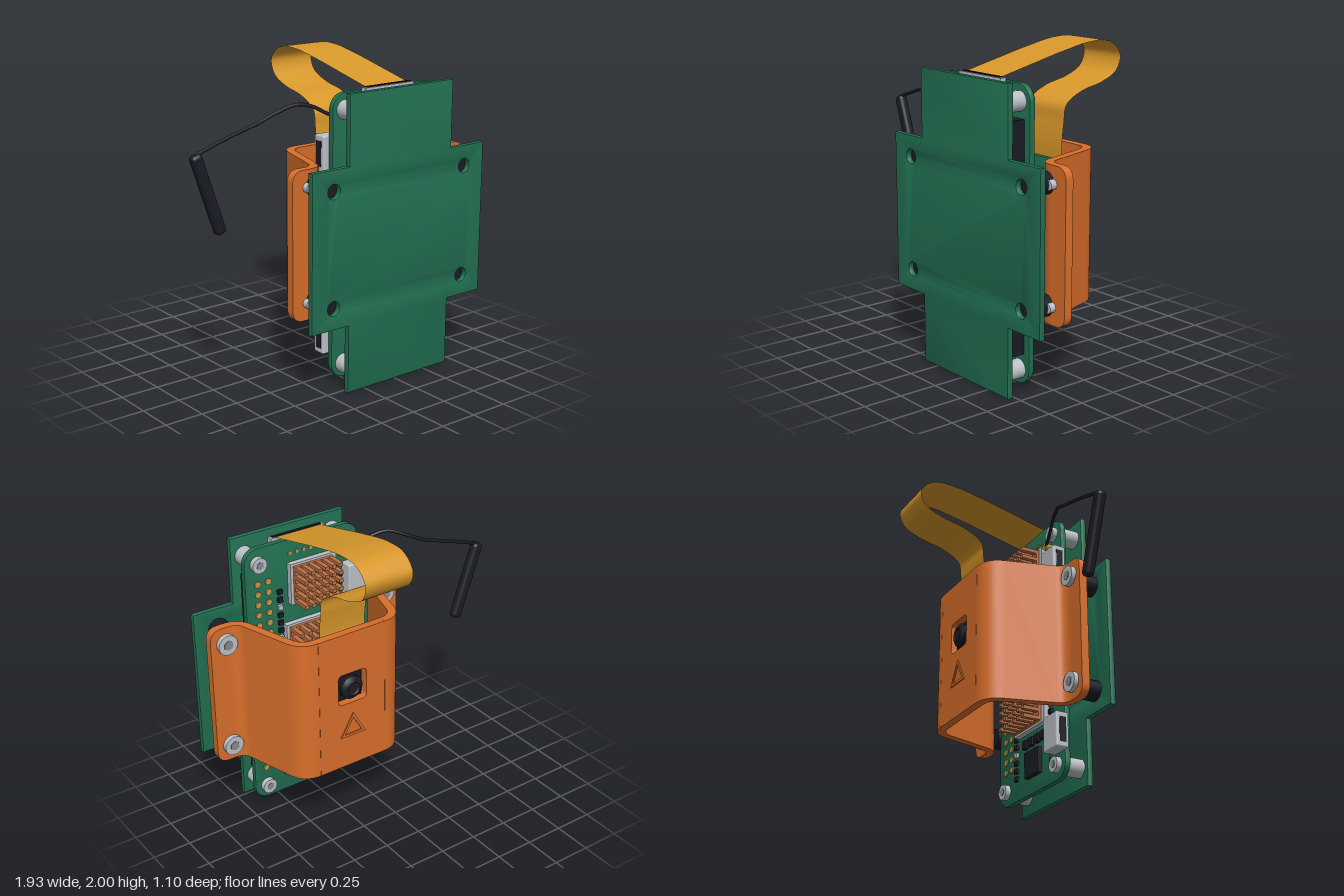
import * as THREE from 'three';
import { toCreasedNormals } from 'three/addons/utils/BufferGeometryUtils.js';
import { RoundedBoxGeometry } from 'three/addons/geometries/RoundedBoxGeometry.js';

const CX = 0.28; // mirror line of boards and bracket
const mat = (name, color, side = THREE.FrontSide) => {
  const m = new THREE.MeshStandardMaterial({ color, side });
  m.name = name;
  return m;
};

export function createModel() {
  const green = mat('board green', 0x227052);
  const orange = mat('bracket orange', 0xd96f2c);
  const black = mat('black plastic', 0x1b1b25);
  const silver = mat('silver', 0xbcc2c8);
  const steel = mat('dark steel', 0x858b92);
  const copper = mat('copper', 0xbd7145);
  const gold = mat('gold', 0xc79a45);
  const amber = mat('ribbon amber', 0xd9982b, THREE.DoubleSide);

  const model = new THREE.Group();
  const add = (name, geo, material, parent = model) => {
    const m = new THREE.Mesh(geo, material);
    m.name = name;
    parent.add(m);
    return m;
  };
  const group = (name) => {
    const g = new THREE.Group();
    g.name = name;
    model.add(g);
    return g;
  };
  // box given by its limits
  const box = (name, x0, x1, y0, y1, z0, z1, material, parent) =>
    add(name, new THREE.BoxGeometry(x1 - x0, y1 - y0, z1 - z0)
      .translate((x0 + x1) / 2, (y0 + y1) / 2, (z0 + z1) / 2), material, parent);
  // cylinder along z
  const rod = (name, x, y, z0, z1, r, material, parent, sides = 28) =>
    add(name, new THREE.CylinderGeometry(r, r, z1 - z0, sides)
      .rotateX(Math.PI / 2).translate(x, y, (z0 + z1) / 2), material, parent);
  // flat outline extruded from z0 to z1, with small rounded edges
  const slab = (name, shape, z0, z1, material, parent, bevel = 0.008) => {
    const geo = new THREE.ExtrudeGeometry(shape, {
      depth: z1 - z0 - 2 * bevel, bevelEnabled: bevel > 0, bevelSize: bevel,
      bevelThickness: bevel, bevelOffset: -bevel, bevelSegments: 2, curveSegments: 10,
    }).translate(0, 0, z0 + bevel);
    return add(name, toCreasedNormals(geo, 0.6), material, parent);
  };
  const roundRect = (x0, x1, y0, y1, r, Type = THREE.Shape) => {
    const s = new Type();
    s.moveTo(x0 + r, y0);
    s.lineTo(x1 - r, y0); s.absarc(x1 - r, y0 + r, r, -Math.PI / 2, 0);
    s.lineTo(x1, y1 - r); s.absarc(x1 - r, y1 - r, r, 0, Math.PI / 2);
    s.lineTo(x0 + r, y1); s.absarc(x0 + r, y1 - r, r, Math.PI / 2, Math.PI);
    s.lineTo(x0, y0 + r); s.absarc(x0 + r, y0 + r, r, Math.PI, Math.PI * 1.5);
    return s;
  };
  const circle = (x, y, r) => new THREE.Path().absarc(x, y, r, 0, Math.PI * 2);
  // screw head facing -z, with a hexagonal socket
  const screw = (x, y, z0, z1, r, parent) => {
    rod('screwHead', x, y, z0, z1, r, silver, parent);
    rod('screwSocket', x, y, z0 - 0.004, z0 + 0.002, r * 0.5, steel, parent, 6);
  };

  // Cross-shaped front plate
  const cross = new THREE.Shape([
    [-0.13, 0], [0.69, 0], [0.69, 0.435], [0.97, 0.435], [0.97, 1.425], [0.69, 1.425],
    [0.69, 1.855], [-0.13, 1.855], [-0.13, 1.425], [-0.41, 1.425], [-0.41, 0.435], [-0.13, 0.435],
  ].map((p) => new THREE.Vector2(...p)));
  const mounts = [];
  for (const x of [-0.245, 0.805]) for (const y of [0.572, 1.292]) mounts.push([x, y]);
  for (const [x, y] of mounts) cross.holes.push(circle(x, y, 0.045));
  slab('frontPlate', cross, 0.51, 0.55, green);

  // Spacers and screws joining bracket to plate
  const joints = group('bracketMounts');
  for (const [x, y] of mounts) {
    rod('spacer', x, y, 0.364, 0.512, 0.067, black, joints);
    const sx = x + Math.sign(x - CX) * 0.06;
    rod('screwShaft', sx, y, 0.3, 0.405, 0.03, silver, joints);
    screw(sx, y, 0.28, 0.312, 0.065, joints);
  }

  // Computer board with standoffs
  const board = group('computerBoard');
  slab('board', roundRect(-0.13, 0.69, 0.035, 1.83, 0.1), 0.352, 0.39, green, board, 0.004);
  for (const x of [-0.04, 0.6]) for (const y of [0.13, 1.73]) {
    rod('standoff', x, y, 0.39, 0.511, 0.06, silver, board);
    screw(x, y, 0.317, 0.352, 0.05, board);
  }

  // Pin header on the plate side and its pads on the rear
  box('pinHeader', 0.49, 0.645, 0.23, 1.63, 0.39, 0.48, black, board);
  for (let i = 0; i < 20; i++) {
    const y = 0.265 + i * 0.07;
    for (const x of [0.53, 0.605]) {
      box('pin', x - 0.008, x + 0.008, y - 0.008, y + 0.008, 0.48, 0.512, gold, board);
      rod('pad', x, y, 0.344, 0.353, 0.021, gold, board, 12);
    }
  }

  // Sockets along the -x edge
  for (const [y0, y1] of [[1.355, 1.58], [0.54, 0.765], [0.2, 0.43]]) {
    add('socket', new RoundedBoxGeometry(0.165, y1 - y0, 0.09, 2, 0.012)
      .translate(-0.09, (y0 + y1) / 2, 0.312), silver, board);
    box('socketOpening', -0.176, -0.171, y0 + 0.035, y1 - 0.035, 0.29, 0.335, black, board);
  }

  // Chips and small components
  box('chip', 0.15, 0.32, 0.14, 0.31, 0.322, 0.352, black, board);
  for (let i = 0; i < 4; i++)
    box('smallChip', 0.08 + i * 0.075, 0.13 + i * 0.075, 0.345, 0.4, 0.325, 0.352, black, board);
  for (let i = 0; i < 26; i++) {
    const y = 0.18 + i * 0.053;
    for (const x of [0.015, 0.455])
      box('component', x - 0.016, x + 0.016, y - 0.015, y + 0.015, 0.332, 0.352, i % 4 === 3 ? silver : black, board);
  }
  for (let i = 0; i < 6; i++) rod('testPad', 0.12 + i * 0.05, 1.74, 0.346, 0.353, 0.012, gold, board, 10);

  // Pin-fin heat sinks on silver packages
  for (const [x0, x1, y0, y1, nx, ny] of [[0.09, 0.37, 1.42, 1.665, 6, 5], [0.09, 0.41, 0.46, 1.26, 6, 15]]) {
    const sink = group('heatSink');
    box('package', x0 - 0.035, x1 + 0.02, y0 - 0.015, y1 + 0.015, 0.315, 0.352, silver, sink);
    box('sinkBase', x0, x1, y0, y1, 0.295, 0.315, copper, sink);
    for (let i = 0; i < nx; i++) for (let j = 0; j < ny; j++) {
      const x = x0 + 0.015 + (x1 - x0 - 0.03) * i / (nx - 1);
      const y = y0 + 0.013 + (y1 - y0 - 0.026) * j / (ny - 1);
      box('fin', x - 0.015, x + 0.015, y - 0.012, y + 0.012, 0.187, 0.295, copper, sink);
    }
  }

  // Ribbon connector and card slot on the plate side
  box('ribbonConnector', 0.09, 0.475, 1.79, 1.847, 0.388, 0.427, silver, board);
  box('connectorLatch', 0.108, 0.458, 1.847, 1.853, 0.396, 0.418, black, board);
  box('cardSlot', 0.09, 0.475, 0.185, 0.235, 0.388, 0.427, silver, board);

  // Folded bracket: flat back panel with window
  const bracket = group('bracket');
  const Y0 = 0.462, Y1 = 1.4, T = 0.027;
  const panel = roundRect(CX - 0.242, CX + 0.242, Y0, Y1, 0.0001);
  panel.holes.push(roundRect(CX - 0.105, CX + 0.105, 0.915, 1.125, 0.03, THREE.Path));
  slab('backPanel', panel, -0.177, -0.123, orange, bracket, 0);

  // Bent wings and flanges on both sides; the fold is drawn in (x, -z)
  const fold = new THREE.Path();
  fold.moveTo(0.57, -0.338);
  fold.quadraticCurveTo(0.485, -0.338, 0.462, -0.261);
  fold.lineTo(0.37, 0.054);
  fold.quadraticCurveTo(0.342, 0.15, 0.242, 0.15);
  const line = fold.getPoints(10);
  for (const s of [-1, 1]) {
    const sides = [1, -1].map((k) => line.map((p, i) => {
      const d = line[Math.min(i + 1, line.length - 1)].clone().sub(line[Math.max(i - 1, 0)]).normalize();
      return new THREE.Vector2(CX + s * (p.x - d.y * T * k), p.y + d.x * T * k);
    }));
    const wing = new THREE.ExtrudeGeometry(new THREE.Shape([...sides[0], ...sides[1].reverse()]),
      { depth: Y1 - Y0, bevelEnabled: false }).rotateX(-Math.PI / 2).translate(0, Y0, 0);
    add('wing', toCreasedNormals(wing, 0.6), orange, bracket);
    const X = (d) => CX + s * d;
    const flange = new THREE.Shape();
    flange.moveTo(X(0.565), Y0);
    flange.lineTo(X(0.61), Y0);
    flange.quadraticCurveTo(X(0.69), Y0, X(0.69), Y0 + 0.08);
    flange.lineTo(X(0.69), Y1 - 0.08);
    flange.quadraticCurveTo(X(0.69), Y1, X(0.61), Y1);
    flange.lineTo(X(0.565), Y1);
    slab('flange', flange, 0.311, 0.365, orange, bracket, 0);
  }

  // Raised triangle outline under the window
  const tri = (Type, w, y0, y1) => new Type([[-w, y0], [w, y0], [0, y1]].map(([x, y]) => new THREE.Vector2(CX + x, y)));
  const outline = tri(THREE.Shape, 0.092, 0.68, 0.84);
  outline.holes.push(tri(THREE.Path, 0.064, 0.697, 0.808));
  slab('triangle', outline, -0.185, -0.177, orange, bracket, 0);

  // Camera board behind the window
  const camera = group('camera');
  slab('cameraBoard', roundRect(-0.03, 0.59, 0.7, 1.3, 0.05), -0.072, -0.042, green, camera, 0.003);
  for (const x of [0.03, 0.53]) for (const y of [0.77, 1.23]) {
    rod('cameraStandoff', x, y, -0.042, 0.035, 0.03, silver, camera);
    screw(x, y, -0.092, -0.072, 0.036, camera);
  }
  box('cameraConnector', 0.09, 0.47, 1.22, 1.29, -0.092, -0.072, silver, camera);
  box('cameraHousing', CX - 0.085, CX + 0.085, 0.93, 1.1, -0.145, -0.072, black, camera);
  const lens = [[0, 0.045], [0.035, 0.045], [0.045, 0.052], [0.06, 0.045], [0.078, 0.03], [0.078, 0]]
    .reverse().map((p) => new THREE.Vector2(...p));
  add('lens', toCreasedNormals(new THREE.LatheGeometry(lens, 28).rotateX(-Math.PI / 2), 0.6), black, camera)
    .position.set(CX, 1.015, -0.14);

  // Flexible ribbon: a flat sheet laid along a curve in (z, y)
  const path = new THREE.CatmullRomCurve3([
    [1.845, 0.405], [1.9, 0.17], [1.957, -0.08], [1.995, -0.3], [1.985, -0.46], [1.9, -0.545],
    [1.805, -0.515], [1.745, -0.4], [1.7, -0.22], [1.63, -0.105], [1.53, -0.087], [1.4, -0.073], [1.25, -0.073],
  ].map(([y, z]) => new THREE.Vector3(0, y, z)));
  const sheet = new THREE.PlaneGeometry(0.328, 1, 1, 90);
  const pos = sheet.attributes.position;
  for (let i = 0; i < pos.count; i++) {
    const p = path.getPoint(0.5 - pos.getY(i));
    pos.setXYZ(i, pos.getX(i) + CX, p.y, p.z);
  }
  sheet.computeVertexNormals();
  add('ribbonCable', sheet, amber);

  // Antenna lead and rod
  const lead = new THREE.CatmullRomCurve3([
    [0, 1.65, 0.315], [-0.1, 1.7, 0.288], [-0.19, 1.748, 0.26], [-0.28, 1.762, 0.232], [-0.38, 1.725, 0.19],
    [-0.5, 1.67, 0.16], [-0.7, 1.61, 0.145], [-0.93, 1.535, 0.14],
  ].map((p) => new THREE.Vector3(...p)));
  add('antennaLead', new THREE.TubeGeometry(lead, 60, 0.011, 8), black);
  rod('leadPlug', 0, 1.65, 0.305, 0.352, 0.025, gold, model, 16);
  const antenna = add('antenna', new RoundedBoxGeometry(0.074, 0.525, 0.064, 4, 0.026), black);
  antenna.position.set(-0.852, 1.29, 0.14);
  antenna.rotation.z = 0.33;

  return model;
}
